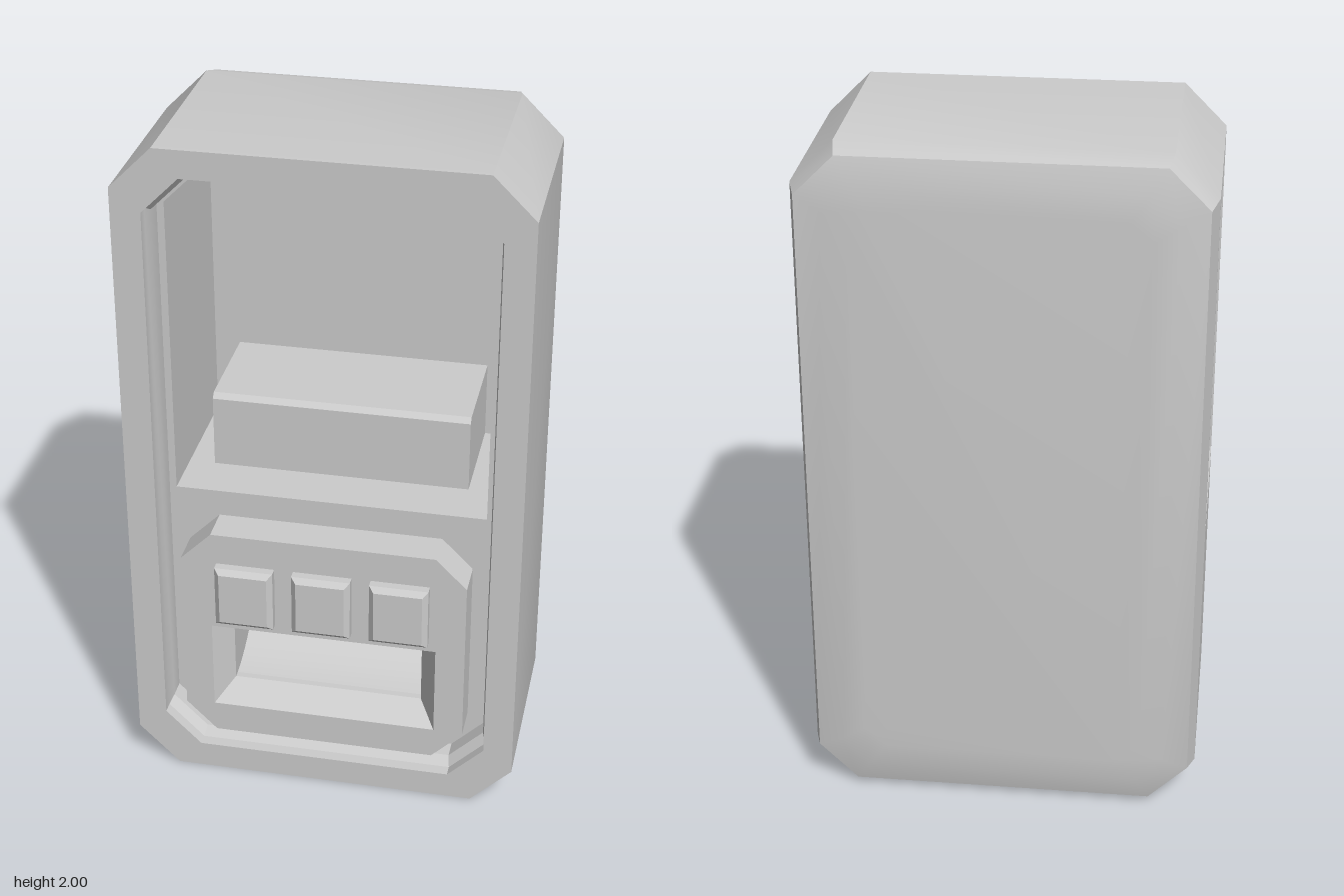
import * as THREE from 'three';
import { mergeGeometries, toCreasedNormals } from 'three/addons/utils/BufferGeometryUtils.js';

const material = new THREE.MeshStandardMaterial({ color: 0xcccccc });

// Outlines run counter-clockwise seen from +z.
const oct = (w, y0, y1, c) => [
  [-w + c, y0], [w - c, y0], [w, y0 + c], [w, y1 - c],
  [w - c, y1], [-w + c, y1], [-w, y1 - c], [-w, y0 + c]];
const rect = (x0, x1, y0, y1) => [[x0, y0], [x1, y0], [x1, y1], [x0, y1]];

const vec = (pts) => pts.map(([x, y]) => new THREE.Vector2(x, y));

// Flat face towards +z with optional holes.
function face(pts, z, holes = []) {
  const shape = new THREE.Shape(vec(pts));
  holes.forEach((h) => shape.holes.push(new THREE.Path(vec(h))));
  return clean(new THREE.ShapeGeometry(shape).translate(0, 0, z));
}

function clean(geo) {
  const g = geo.index ? geo.toNonIndexed() : geo;
  g.deleteAttribute('uv');
  return g;
}

// Skin through outlines listed front to back; inward skins line a cavity.
function loft(rings, { inward = false, cap = false, skip = () => false } = {}) {
  const pos = [];
  const tri = (a, b, c) => pos.push(...a, ...(inward ? c : b), ...(inward ? b : c));
  const r = rings.map(([pts, z]) => pts.map(([x, y]) => [x, y, z]));
  const n = r[0].length;
  for (let k = 0; k + 1 < r.length; k++) {
    for (let i = 0; i < n; i++) {
      if (skip(k, i)) continue;
      const j = (i + 1) % n;
      tri(r[k][i], r[k + 1][i], r[k + 1][j]);
      tri(r[k][i], r[k + 1][j], r[k][j]);
    }
  }
  const last = r[r.length - 1];
  if (cap) for (let i = 1; i + 1 < n; i++) tri(last[0], last[i + 1], last[i]);
  const g = new THREE.BufferGeometry();
  g.setAttribute('position', new THREE.Float32BufferAttribute(pos, 3));
  g.computeVertexNormals();
  return g;
}

// Side profile of [z, y] points extruded across x.
function across(pts, width) {
  const g = new THREE.ExtrudeGeometry(new THREE.Shape(vec(pts)), { depth: width, bevelEnabled: false });
  return clean(g.rotateY(-Math.PI / 2).translate(width / 2, 0, 0));
}

function part(name, ...geos) {
  const mesh = new THREE.Mesh(toCreasedNormals(mergeGeometries(geos), 0.5), material);
  mesh.name = name;
  return mesh;
}

export function createModel() {
  const model = new THREE.Group();
  model.name = 'dispenserMachine';

  const FRONT = 0.315, PANEL = 0.2, PLATE = 0.31;
  const body = oct(0.565, 0, 2, 0.12);
  const frameEdge = oct(0.48, 0.08, 1.92, 0.105);
  const panelEdge = oct(0.47, 0.105, 1.9, 0.1);
  const trayMouth = rect(-0.33, 0.33, 0.235, 0.515);
  const trayThroat = rect(-0.28, 0.28, 0.29, 0.48);

  // Chamfered shell with rounded back; the right wall is cut for its window
  model.add(part('shell',
    face(body, FRONT, [frameEdge]),
    loft([
      [body, FRONT], [body, -0.26],
      [oct(0.545, 0.02, 1.98, 0.112), -0.325],
      [oct(0.47, 0.09, 1.91, 0.08), -0.345],
      [oct(0.4, 0.16, 1.84, 0.06), -0.35],
    ], { cap: true, skip: (k, i) => k === 0 && i === 6 })));

  // Right wall and its shallow window, drawn facing +z then turned to -x
  const sideWindow = rect(-0.22, 0.3, 0.87, 1.83);
  const side = part('sideWindow',
    face(rect(-0.26, FRONT, 0.12, 1.88), 0.565, [sideWindow]),
    loft([[sideWindow, 0.565], [sideWindow, 0.52]], { inward: true, cap: true }));
  side.rotation.y = -Math.PI / 2;
  model.add(side);

  // Recessed front frame
  model.add(part('frontFrame', loft([
    [frameEdge, FRONT], [frameEdge, 0.28], [panelEdge, 0.255], [panelEdge, PANEL],
  ], { inward: true })));

  // Display compartment with chamfered top corners
  const display = [[-0.45, 0.91], [0.45, 0.91], [0.45, 1.8], [0.36, 1.89], [-0.36, 1.89], [-0.45, 1.8]];
  model.add(part('frontPanel', face(panelEdge, PANEL, [display, trayMouth])));
  model.add(part('displayCompartment',
    loft([[display, PANEL], [display, -0.28]], { inward: true, cap: true })));
  model.add(part('displayShelf', across(
    [[-0.28, 0.91], [0.05, 0.91], [0.05, 1.125], [0.035, 1.14], [-0.28, 1.14]], 0.75)));

  // Raised control plate
  const plate = oct(0.415, 0.14, 0.83, 0.09);
  model.add(part('controlPlate',
    face(plate, PLATE, [trayMouth]),
    loft([[plate, PLATE], [plate, PANEL]])));

  // Bevelled push buttons
  const buttons = new THREE.Group();
  buttons.name = 'buttons';
  for (const x of [-0.225, 0, 0.225]) {
    const base = rect(x - 0.085, x + 0.085, 0.545, 0.735);
    const top = rect(x - 0.07, x + 0.07, 0.56, 0.72);
    buttons.add(part('button', face(top, 0.35),
      loft([[top, 0.35], [base, 0.335], [base, PLATE]])));
  }
  model.add(buttons);

  // Pickup tray: funnel mouth, throat and curved slide
  model.add(part('pickupTray', loft([
    [trayMouth, PLATE], [trayThroat, 0.24], [trayThroat, -0.1],
  ], { inward: true, cap: true })));
  const curve = new THREE.QuadraticBezierCurve(
    new THREE.Vector2(0.22, 0.29), new THREE.Vector2(0.06, 0.31), new THREE.Vector2(-0.08, 0.48));
  const slide = curve.getPoints(10).map((p) => [p.x, p.y]);
  model.add(part('traySlide', across([[-0.09, 0.285], [0.22, 0.285], ...slide, [-0.09, 0.48]], 0.56)));

  return model;
}
